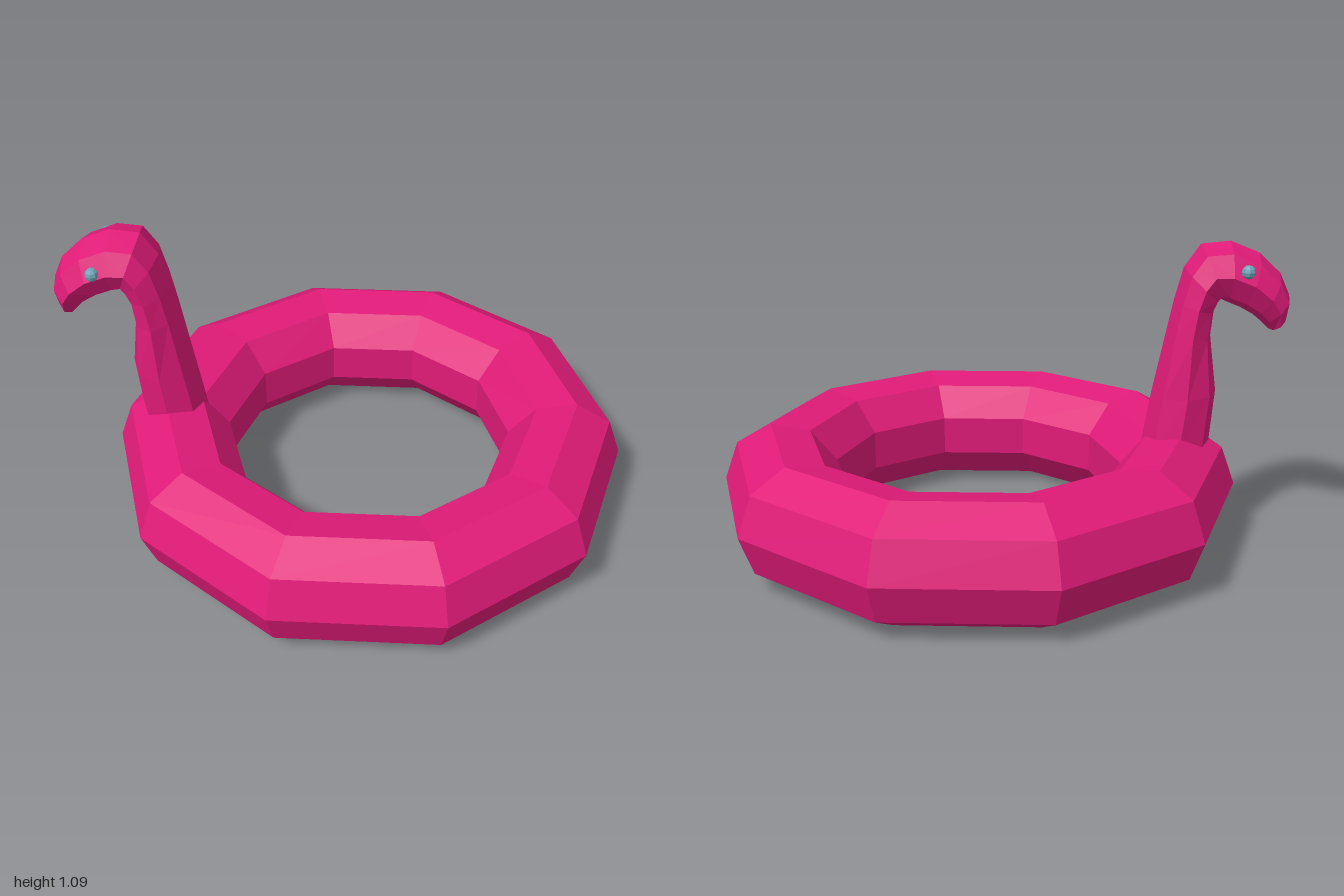
import * as THREE from 'three';

const SIDES = 8;

// Neck and head stations: outer x, y, inner x, y, half width in z
const STATIONS = [
  [-0.51, 0.36, -0.75, 0.36, 0.13],
  [-0.54, 0.55, -0.765, 0.56, 0.13],
  [-0.585, 0.78, -0.737, 0.76, 0.13],
  [-0.607, 0.89, -0.745, 0.85, 0.13],
  [-0.635, 1.0, -0.76, 0.88, 0.133],
  [-0.69, 1.08, -0.768, 0.888, 0.133],
  [-0.79, 1.09, -0.785, 0.88, 0.133],
  [-0.89, 1.05, -0.835, 0.86, 0.13],
  [-0.965, 0.98, -0.88, 0.835, 0.125],
  [-1.0, 0.905, -0.91, 0.81, 0.11],
  [-0.99, 0.83, -0.935, 0.785, 0.08],
];

// Closed skin over elliptical eight-sided sections
function loft(stations) {
  const pos = [], index = [];
  const id = (i, j) => i * SIDES + (j % SIDES);
  stations.forEach(([ox, oy, ix, iy, w], i) => {
    for (let j = 0; j < SIDES; j++) {
      const a = (j / SIDES) * Math.PI * 2, c = Math.cos(a) / 2;
      pos.push((ox + ix) / 2 + (ox - ix) * c, (oy + iy) / 2 + (oy - iy) * c, w * Math.sin(a));
      if (i < stations.length - 1) {
        index.push(id(i, j), id(i + 1, j), id(i, j + 1));
        index.push(id(i + 1, j), id(i + 1, j + 1), id(i, j + 1));
      }
    }
  });
  // End caps
  const last = stations.length - 1;
  for (let j = 1; j < SIDES - 1; j++) {
    index.push(id(0, 0), id(0, j), id(0, j + 1));
    index.push(id(last, 0), id(last, j + 1), id(last, j));
  }
  const geo = new THREE.BufferGeometry();
  geo.setAttribute('position', new THREE.Float32BufferAttribute(pos, 3));
  geo.setIndex(index);
  geo.computeVertexNormals();
  return geo;
}

export function createModel() {
  const model = new THREE.Group();
  model.name = 'birdSwimRing';
  const pink = new THREE.MeshStandardMaterial({ color: 0xe01b78, flatShading: true });
  const blue = new THREE.MeshStandardMaterial({ color: 0x6fa3b5, flatShading: true });

  const add = (name, geo, mat) => {
    const mesh = new THREE.Mesh(geo, mat);
    mesh.name = name;
    model.add(mesh);
    return mesh;
  };

  // Ten-sided inflatable ring with a nine-sided tube
  const ring = new THREE.TorusGeometry(0.713, 0.212, 9, 10).rotateX(-Math.PI / 2);
  add('ring', ring, pink).position.set(0.075, 0.209, 0);

  // Curved neck running into the head and beak
  add('neckAndHead', loft(STATIONS), pink);

  // Eyes
  for (const s of [1, -1]) {
    const eye = add(s > 0 ? 'leftEye' : 'rightEye', new THREE.SphereGeometry(0.024, 8, 6), blue);
    eye.position.set(-0.835, s > 0 ? 0.987 : 1.005, s * 0.122);
  }
  return model;
}
